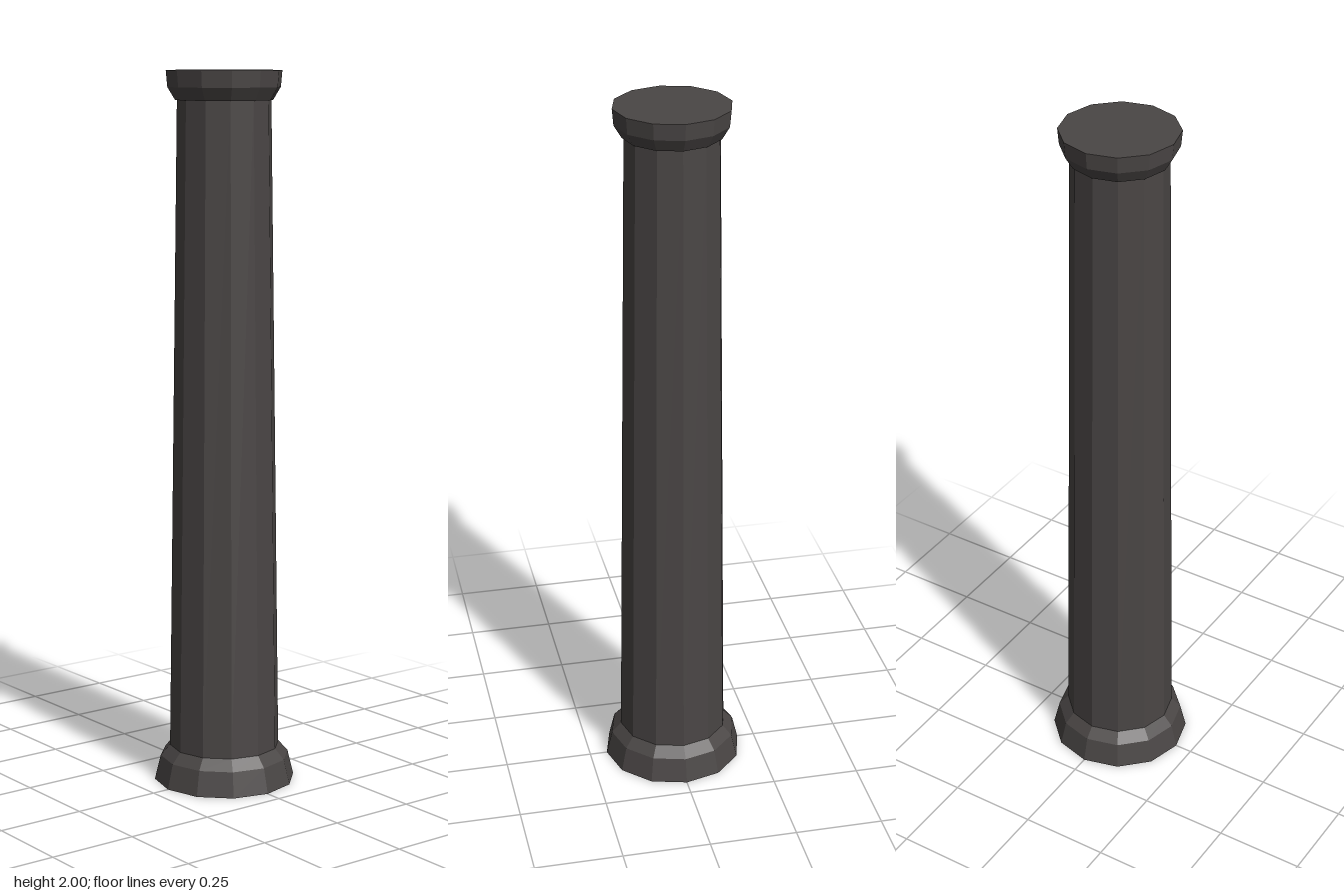
import * as THREE from 'three';

const SIDES = 12;

export function createModel() {
  const model = new THREE.Group();
  model.name = 'column';
  const stone = new THREE.MeshStandardMaterial({ color: 0x4a4645 });
  stone.name = 'dark stone';

  // One faceted, tapered drum of the column
  function drum(name, y0, y1, r0, r1, open = false) {
    const geometry = new THREE.CylinderGeometry(r1, r0, y1 - y0, SIDES, 1, open).toNonIndexed();
    geometry.computeVertexNormals();
    const mesh = new THREE.Mesh(geometry, stone);
    mesh.name = name;
    mesh.position.y = (y0 + y1) / 2;
    model.add(mesh);
  }

  // Foot with a bevelled shoulder
  drum('foot', 0, 0.07, 0.2, 0.183);
  drum('footBevel', 0.07, 0.1, 0.183, 0.156);

  // Tapered shaft
  drum('shaft', 0.1, 1.92, 0.156, 0.13, true);

  // Flared capital with a flat top
  drum('capitalBevel', 1.92, 1.955, 0.135, 0.156);
  drum('capital', 1.955, 2, 0.156, 0.16);

  return model;
}
